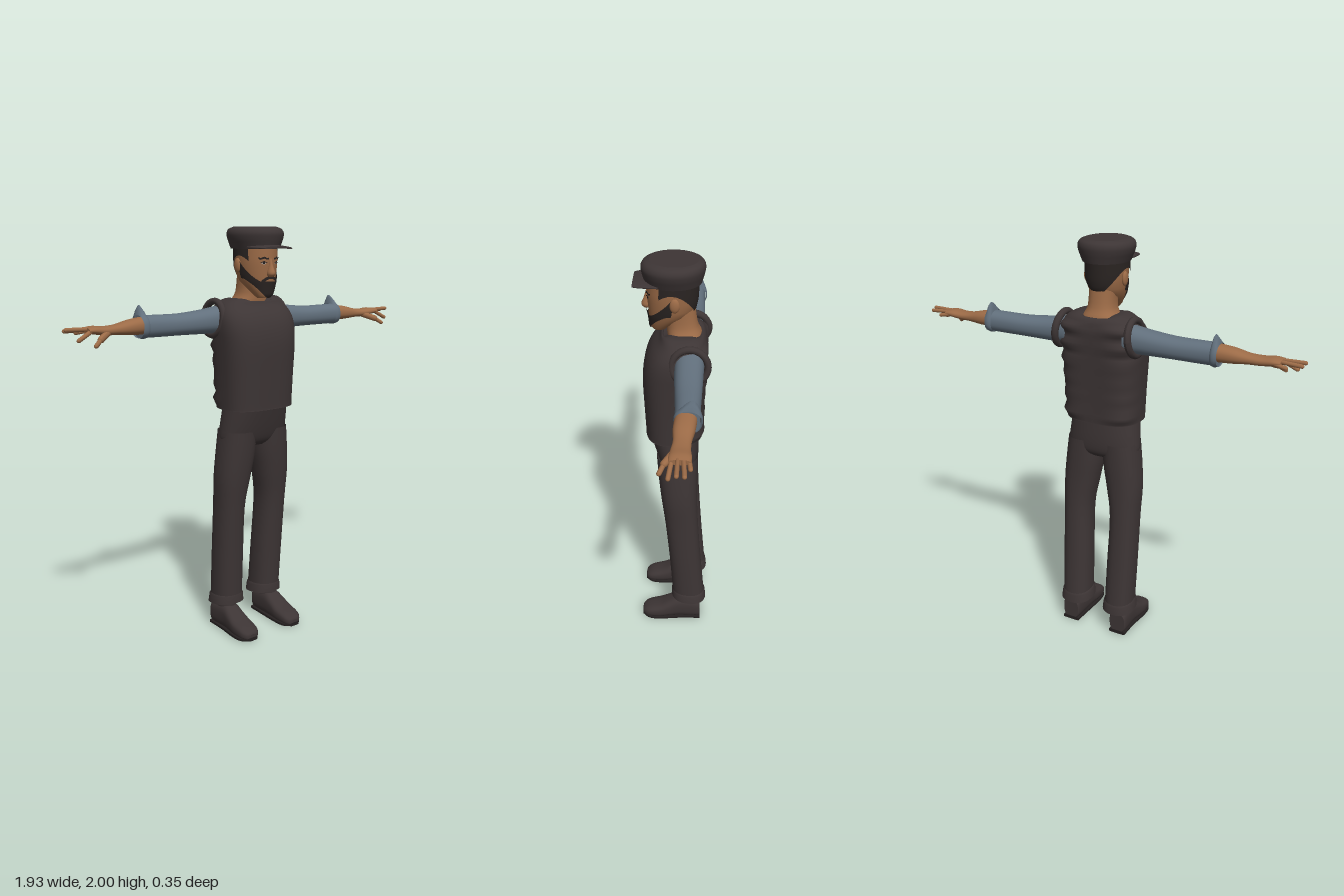
import * as THREE from 'three';

const mat = (name, color, side = THREE.DoubleSide) => {
  const m = new THREE.MeshStandardMaterial({ color, side });
  m.name = name;
  return m;
};

// Surface through rows of points; wrap closes each row into a ring, caps close the ends.
function grid(rows, wrap, caps) {
  const pos = [], idx = [], n = rows[0].length, cols = wrap ? n : n - 1;
  const add = p => pos.push(p.x, p.y, p.z) / 3 - 1;
  rows.forEach(r => r.forEach(add));
  for (let i = 0; i < rows.length - 1; i++) for (let j = 0; j < cols; j++) {
    const k = (j + 1) % n, a = i * n + j, b = i * n + k;
    idx.push(a, b, b + n, a, b + n, a + n);
  }
  if (caps) [rows[0], rows[rows.length - 1]].forEach((row, e) => {
    const mid = add(row.reduce((s, p) => s.add(p), new THREE.Vector3()).divideScalar(n));
    const ring = row.map(add);
    ring.forEach((a, j) => {
      const b = ring[(j + 1) % n];
      e ? idx.push(mid, a, b) : idx.push(mid, b, a);
    });
  });
  const g = new THREE.BufferGeometry();
  g.setAttribute('position', new THREE.Float32BufferAttribute(pos, 3));
  g.setIndex(idx);
  g.computeVertexNormals();
  return g;
}

// Section = [along, centreU, centreV, radiusU, radiusV]; sections ascend along the axis.
// Axis y uses (u, v) = (x, z), axis x uses (y, z), axis z uses (x, y).
function loft(axis, sections, { n = 2.3, seg = 32, sub = 4, caps = true, rule } = {}) {
  const rows = [], last = sections.length - 1;
  const S = i => sections[Math.min(Math.max(i, 0), last)];
  for (let i = 0; i <= last * sub; i++) {
    const k = Math.min(Math.floor(i / sub), last - 1), t = i / sub - k;
    const [w, cu, cv, ru, rv] = S(k).map((b, c) => {
      const a = S(k - 1)[c], d = S(k + 1)[c], e = S(k + 2)[c];
      if (sub === 1) return b + (d - b) * t;
      return b + 0.5 * t * (d - a + t * (2 * a - 5 * b + 4 * d - e + t * (3 * (b - d) + e - a)));
    });
    const row = [];
    for (let j = 0; j < seg; j++) {
      const th = j / seg * Math.PI * 2, c = Math.cos(th), s = Math.sin(th);
      const u = Math.sign(c) * Math.abs(c) ** (2 / n) * ru, v = Math.sign(s) * Math.abs(s) ** (2 / n) * rv;
      const p = axis === 'y' ? new THREE.Vector3(cu + u, w, cv - v)
        : axis === 'x' ? new THREE.Vector3(w, cu + u, cv + v) : new THREE.Vector3(cu + u, cv + v, w);
      if (rule) rule(p, th, i / (last * sub));
      row.push(p);
    }
    rows.push(row);
  }
  return grid(rows, true, caps);
}

// Rounded rod between two points
function rod(a, b, r) {
  const A = new THREE.Vector3(...a), B = new THREE.Vector3(...b), d = B.clone().sub(A);
  const g = new THREE.CapsuleGeometry(r, d.length(), 4, 10);
  g.applyQuaternion(new THREE.Quaternion().setFromUnitVectors(new THREE.Vector3(0, 1, 0), d.normalize()));
  return g.translate(...A.add(B).multiplyScalar(0.5).toArray());
}

function mirrored(geo) {
  const g = geo.clone().scale(-1, 1, 1), ix = g.index.array;
  for (let i = 0; i < ix.length; i += 3) [ix[i], ix[i + 1]] = [ix[i + 1], ix[i]];
  g.computeVertexNormals();
  return g;
}

// Head cross-sections: [y, x, z, half width, half depth]
const HEAD = [
  [1.675, 0, 0.06, 0.03, 0.03], [1.69, 0, 0.055, 0.045, 0.045], [1.72, 0, 0.035, 0.062, 0.068],
  [1.75, 0, 0.015, 0.078, 0.092], [1.78, 0, 0.005, 0.086, 0.104], [1.82, 0, 0.003, 0.092, 0.11],
  [1.86, 0, 0.003, 0.094, 0.112], [1.93, 0, 0, 0.093, 0.112]];

// Thin layer over the head between two angles (270 = front, 90 = back)
function headPatch(a0, a1, bottom, top, off, cols = 24, steps = 10) {
  const rows = [];
  for (let i = 0; i <= steps; i++) {
    const row = [];
    for (let j = 0; j <= cols; j++) {
      const deg = a0 + (a1 - a0) * j / cols, th = deg * Math.PI / 180;
      const y = bottom(deg) + (top(deg) - bottom(deg)) * i / steps;
      let k = 0;
      while (k < HEAD.length - 2 && HEAD[k + 1][0] < y) k++;
      const t = (y - HEAD[k][0]) / (HEAD[k + 1][0] - HEAD[k][0]);
      const v = c => HEAD[k][c] + (HEAD[k + 1][c] - HEAD[k][c]) * t;
      row.push(new THREE.Vector3(Math.cos(th) * (v(3) + off), y, v(2) - Math.sin(th) * (v(4) + off)));
    }
    rows.push(row);
  }
  return grid(rows, false, false);
}

export function createModel() {
  const model = new THREE.Group();
  const skin = mat('skin', 0x9c6b47), cloth = mat('dark cloth', 0x3d3535), shirt = mat('blue grey shirt', 0x62707d);
  const hair = mat('hair', 0x2a2422), sole = mat('sole', 0x262121), white = mat('eye white', 0xa89c92);
  const add = (name, geo, m) => {
    const mesh = new THREE.Mesh(geo, m);
    mesh.name = name;
    model.add(mesh);
  };
  const pair = (name, geo, m) => {
    add(name + 'Left', geo, m);
    add(name + 'Right', mirrored(geo), m);
  };

  // Vest, with creased back corners and a scooped neckline
  add('vest', loft('y', [
    [1.15, 0, -0.012, 0.188, 0.138], [1.17, 0, -0.012, 0.188, 0.138], [1.3, 0, -0.01, 0.192, 0.142],
    [1.45, 0, -0.01, 0.2, 0.147], [1.54, 0, -0.018, 0.205, 0.143], [1.6, 0, -0.032, 0.198, 0.13],
    [1.645, 0, -0.045, 0.172, 0.103], [1.67, 0, -0.04, 0.125, 0.088], [1.672, 0, -0.038, 0.09, 0.08]],
  { n: 2.8, seg: 56, rule: (p, th, t) => {
    const back = Math.max(0, Math.sin(th)), corner = back * Math.abs(Math.cos(th)) * 2;
    if (t < 0.7) {
      p.x += Math.sign(p.x) * corner * 0.006 * Math.sin(p.y * 75);
      p.z -= corner * 0.008 * (1 + Math.sin(p.y * 75)) - back ** 8 * 0.004;
    }
    if (t > 0.8) p.y -= 0.028 * Math.sin(th) ** 4 * (t - 0.8) / 0.2;
  } }), cloth);
  const armhole = new THREE.TorusGeometry(0.08, 0.016, 10, 32).rotateY(Math.PI / 2).scale(1.1, 1, 1);
  pair('armholeTrim', armhole.rotateZ(0.12).translate(0.187, 1.58, -0.082), cloth);
  pair('shirtCollar', rod([0.035, 1.637, 0.046], [0.085, 1.645, 0.036], 0.01), shirt);

  // Trousers
  add('trouserSeat', loft('y', [[0.96, 0, -0.032, 0.13, 0.06], [0.99, 0, -0.03, 0.182, 0.088],
    [1.06, 0, -0.02, 0.182, 0.105], [1.18, 0, 0, 0.165, 0.12]]), cloth);
  pair('trouserLeg', loft('y', [
    [0.16, 0.122, -0.088, 0.073, 0.083], [0.4, 0.126, -0.07, 0.074, 0.08], [0.65, 0.129, -0.05, 0.072, 0.082],
    [0.8, 0.119, -0.037, 0.086, 0.088], [0.92, 0.104, -0.03, 0.092, 0.094], [1.04, 0.093, -0.025, 0.088, 0.098]],
  { caps: false }), cloth);
  pair('trouserCuff', loft('y', [[0.135, 0.122, -0.09, 0.084, 0.09], [0.175, 0.122, -0.088, 0.079, 0.087],
    [0.185, 0.122, -0.088, 0.072, 0.082]],
  { sub: 1, caps: false, rule: p => { p.y += (p.z + 0.09) * 0.1; } }), cloth);

  // Shoes
  pair('shoe', loft('z', [
    [-0.15, 0.137, 0.065, 0.042, 0.055], [-0.13, 0.137, 0.068, 0.048, 0.064], [-0.04, 0.135, 0.07, 0.05, 0.066],
    [0.01, 0.137, 0.058, 0.053, 0.054], [0.06, 0.138, 0.044, 0.057, 0.04], [0.12, 0.138, 0.034, 0.052, 0.03],
    [0.148, 0.137, 0.027, 0.036, 0.02], [0.155, 0.137, 0.025, 0.018, 0.012]], { n: 2.7 }), cloth);
  pair('shoeSole', loft('z', [
    [-0.152, 0.137, 0.009, 0.045, 0.009], [-0.05, 0.135, 0.009, 0.05, 0.009], [0.06, 0.138, 0.009, 0.059, 0.009],
    [0.12, 0.138, 0.009, 0.053, 0.009], [0.156, 0.137, 0.012, 0.025, 0.009]], { n: 6 }), sole);
  pair('shoeAnkle', loft('y', [[0.09, 0.135, -0.08, 0.043, 0.066], [0.19, 0.132, -0.08, 0.04, 0.062]]), cloth);

  // Arms and hands
  pair('sleeve', loft('x', [
    [0.15, 1.575, -0.08, 0.066, 0.066], [0.25, 1.568, -0.08, 0.057, 0.063], [0.38, 1.563, -0.082, 0.05, 0.058],
    [0.5, 1.563, -0.084, 0.05, 0.053], [0.59, 1.564, -0.085, 0.05, 0.052]]), shirt);
  pair('sleeveCuff', loft('x', [[0.565, 1.564, -0.086, 0.052, 0.054], [0.578, 1.564, -0.088, 0.055, 0.06],
    [0.597, 1.564, -0.088, 0.051, 0.056]],
  { sub: 2, caps: false, rule: (p, th, t) => {
    p.y += 0.042 * Math.max(0, Math.cos(th + 0.3)) ** 6 * Math.sin(t * Math.PI);
  } }), shirt);
  pair('forearm', loft('x', [
    [0.57, 1.57, -0.08, 0.04, 0.046], [0.65, 1.566, -0.074, 0.034, 0.045], [0.72, 1.561, -0.07, 0.023, 0.037],
    [0.78, 1.56, -0.066, 0.02, 0.04], [0.83, 1.566, -0.066, 0.018, 0.045], [0.865, 1.567, -0.065, 0.012, 0.043]]), skin);
  [['little', [0.84, 1.562, -0.1], [0.89, 1.555, -0.107]], ['ring', [0.85, 1.57, -0.08], [0.952, 1.567, -0.087]],
    ['middle', [0.85, 1.572, -0.058], [0.958, 1.574, -0.057]], ['index', [0.85, 1.566, -0.035], [0.918, 1.53, -0.024]]]
    .forEach(([name, a, b]) => pair(name + 'Finger', rod(a, b, 0.0095), skin));
  pair('thumbBase', rod([0.77, 1.553, -0.045], [0.825, 1.53, -0.005], 0.015), skin);
  pair('thumb', rod([0.825, 1.53, -0.005], [0.858, 1.507, 0.013], 0.01), skin);

  // Neck and head
  add('neck', loft('y', [[1.58, 0, -0.07, 0.13, 0.07], [1.65, 0, -0.055, 0.092, 0.078],
    [1.7, 0, -0.042, 0.066, 0.07], [1.79, 0, -0.03, 0.064, 0.068]]), skin);
  add('head', loft('y', HEAD, { n: 2, sub: 1, seg: 40 }), skin);
  add('nose', loft('y', [[1.774, 0, 0.112, 0.012, 0.016], [1.79, 0, 0.115, 0.019, 0.024],
    [1.825, 0, 0.112, 0.01, 0.014], [1.856, 0, 0.109, 0.009, 0.008]], { n: 2, seg: 16 }), skin);
  pair('ear', new THREE.SphereGeometry(1, 16, 12).scale(0.012, 0.033, 0.022).translate(0.097, 1.825, -0.012), skin);

  // Hair, beard and moustache
  const rad = d => d * Math.PI / 180;
  add('hair', headPatch(-28, 208, d => 1.76 + 0.11 * Math.abs(Math.cos(rad(d))) ** 2, () => 1.925, 0.006), hair);
  const beardTop = d => 1.752 + 0.1 * Math.max(0, (Math.abs(d - 270) - 30) / 62) ** 1.5;
  add('beard', headPatch(178, 362, d => 1.676 + 0.09 * Math.abs(Math.cos(rad(d))) ** 3, beardTop, 0.006, 40), hair);
  const tache = d => Math.abs(d - 270) / 30;
  add('moustache', headPatch(240, 300, d => 1.764 - 0.024 * tache(d) ** 2, d => 1.777 - 0.02 * tache(d) ** 2, 0.008), hair);

  // Eyes and brows
  const bow = d => 0.5 + 0.5 * Math.cos((d - 292) / 9 * Math.PI);
  pair('eye', headPatch(283, 301, d => 1.834 - 0.004 * bow(d), d => 1.834 + 0.006 * bow(d), 0.002, 12, 2), white);
  pair('iris', headPatch(289, 295, () => 1.831, () => 1.84, 0.003, 4, 2), sole);
  pair('eyelid', headPatch(282, 302, d => 1.836 + 0.005 * bow(d), d => 1.839 + 0.006 * bow(d), 0.004, 12, 2), hair);
  pair('brow', headPatch(278, 307, d => 1.851 + 0.005 * bow(d), d => 1.859 + 0.006 * bow(d), 0.005, 12, 2), hair);

  // Cap with a short peak
  add('cap', loft('y', [[1.9, 0, -0.002, 0.108, 0.126], [1.922, 0, -0.002, 0.117, 0.132], [1.945, 0, -0.002, 0.126, 0.138],
    [1.97, 0, -0.002, 0.13, 0.141], [1.99, 0, -0.004, 0.12, 0.131], [2, 0, -0.006, 0.095, 0.108]], { n: 2, seg: 40 }), cloth);
  add('capPeak', loft('z', [[0.06, 0, 1.914, 0.1, 0.006], [0.13, 0, 1.911, 0.093, 0.006], [0.172, 0, 1.907, 0.08, 0.005]],
    { n: 4, rule: p => { p.y -= p.x * p.x * 0.8; } }), cloth);
  return model;
}
